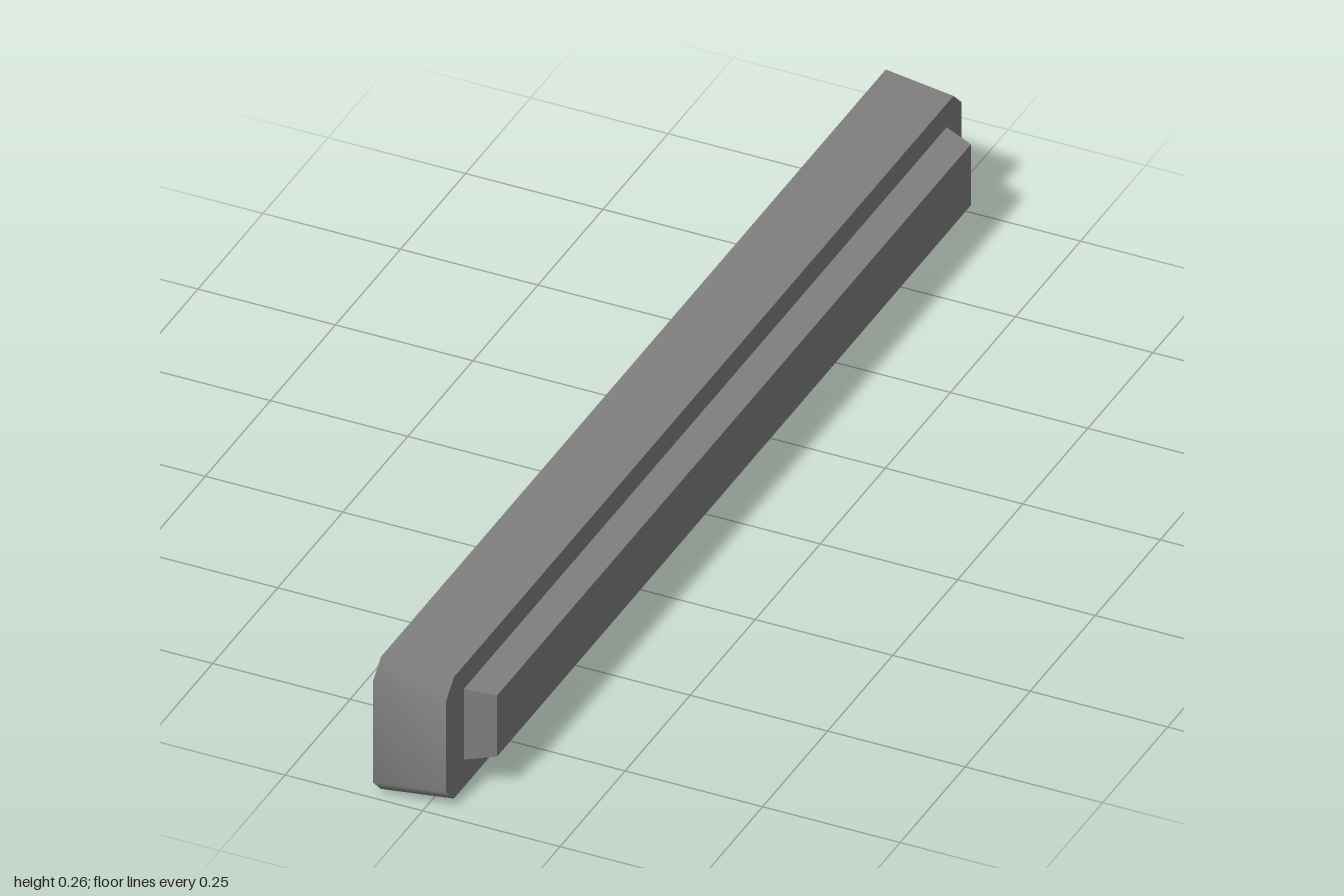
import * as THREE from 'three';

// Chamfered rectangle as [y, z] corners, counter-clockwise seen from +x
function outline(y0, y1, z0, z1, c) {
  if (!c) return [[y0, z0], [y1, z0], [y1, z1], [y0, z1]];
  return [
    [y0, z0 + c], [y0 + c, z0], [y1 - c, z0], [y1, z0 + c],
    [y1, z1 - c], [y1 - c, z1], [y0 + c, z1], [y0, z1 - c],
  ];
}

// Side walls between two outlines standing at xa and xb
function walls(a, xa, b, xb) {
  const n = a.length, pos = [], idx = [];
  a.forEach(([y, z]) => pos.push(xa, y, z));
  b.forEach(([y, z]) => pos.push(xb, y, z));
  for (let i = 0; i < n; i++) {
    const j = (i + 1) % n;
    idx.push(i, n + j, j, i, n + i, n + j);
  }
  return build(pos, idx);
}

// Flat face closing an outline, facing +x
function cap(a, x) {
  const pos = [], idx = [];
  a.forEach(([y, z]) => pos.push(x, y, z));
  for (let i = 1; i < a.length - 1; i++) idx.push(0, i, i + 1);
  return build(pos, idx);
}

function build(pos, idx) {
  const g = new THREE.BufferGeometry();
  g.setAttribute('position', new THREE.Float32BufferAttribute(pos, 3));
  g.setIndex(idx);
  g.computeVertexNormals();
  return g;
}

export function createModel() {
  const group = new THREE.Group();
  const grey = new THREE.MeshStandardMaterial({ color: 0x808080, side: THREE.DoubleSide });
  grey.name = 'grey';

  const add = (name, geometry) => {
    const mesh = new THREE.Mesh(geometry, grey);
    mesh.name = name;
    group.add(mesh);
  };

  // Hollow tapered housing, open towards -x, smooth around its corners
  const rim = outline(0, 0.26, -1, 1, 0.03);
  const face = outline(0.011, 0.25, -0.99, 0.99, 0.03);
  add('housingWalls', walls(rim, -0.09, face, 0.038));
  add('housingFace', cap(face, 0.038));

  // Raised bar with sharp sloping sides
  const barBase = outline(0.065, 0.204, -0.934, 0.922);
  const barTip = outline(0.075, 0.195, -0.917, 0.904);
  const barSides = walls(barBase, 0.038, barTip, 0.09).toNonIndexed();
  barSides.computeVertexNormals();
  add('barSides', barSides);
  add('barFace', cap(barTip, 0.09));

  return group;
}
